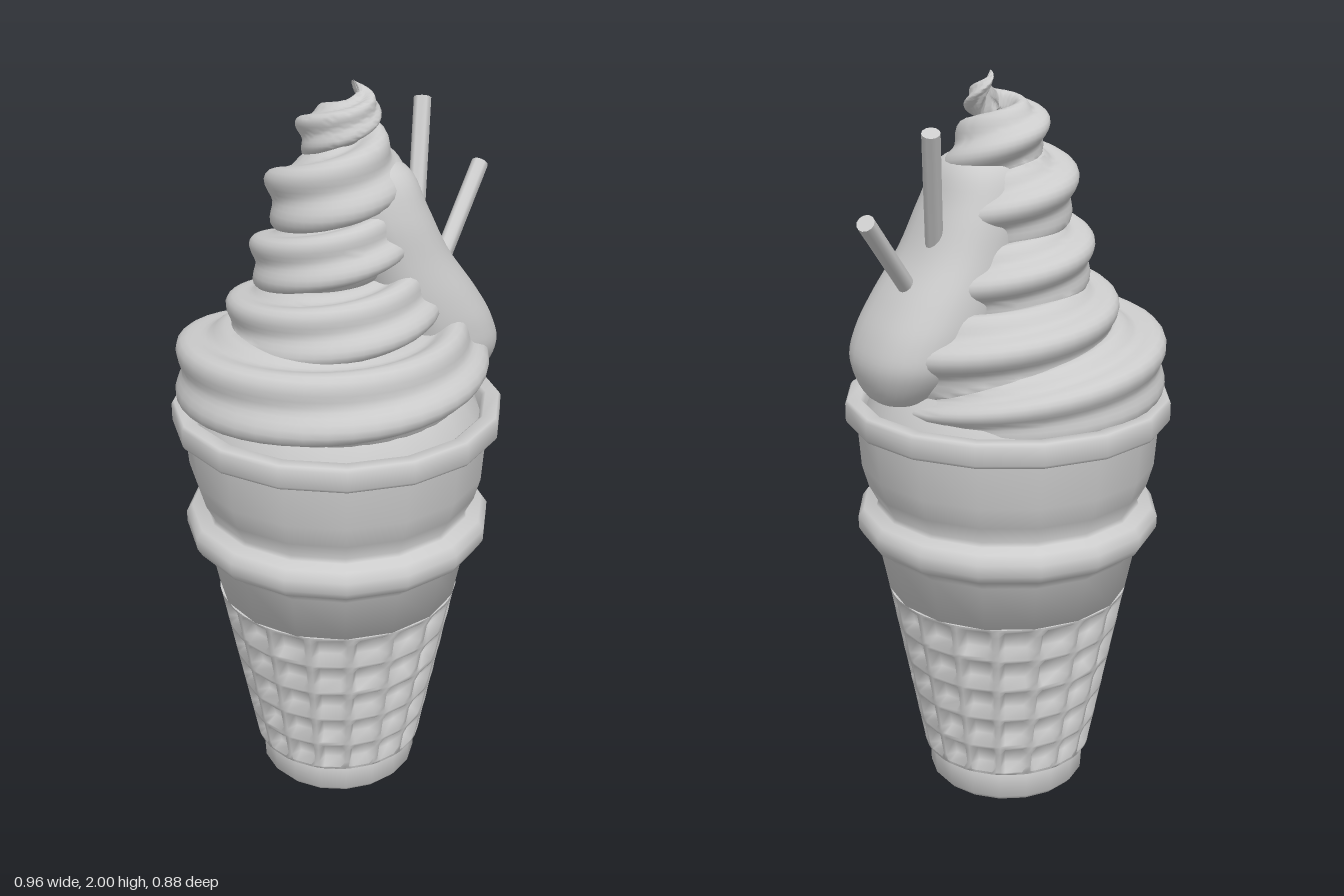
import * as THREE from 'three';
import { toCreasedNormals } from 'three/addons/utils/BufferGeometryUtils.js';

const CX = -0.04; // axis of the cone
const material = new THREE.MeshStandardMaterial({ color: 0xcccccc });

function part(name, geometry, crease = 1.2) {
  const mesh = new THREE.Mesh(toCreasedNormals(geometry, crease), material);
  mesh.name = name;
  return mesh;
}

// Skin through closed loops: point(i, j) gives corner j of loop i
function skin(rows, cols, point) {
  const pos = [], index = [];
  for (let i = 0; i < rows; i++) {
    for (let j = 0; j < cols; j++) {
      pos.push(...point(i, j));
      if (i === rows - 1) continue;
      const a = i * cols + j, b = i * cols + (j + 1) % cols;
      index.push(a, b, b + cols, a, b + cols, a + cols);
    }
  }
  const geometry = new THREE.BufferGeometry();
  geometry.setAttribute('position', new THREE.Float32BufferAttribute(pos, 3));
  geometry.setIndex(index);
  return geometry;
}

function lathe(points, segments) {
  return new THREE.LatheGeometry(points.map(([r, y]) => new THREE.Vector2(r, y)), segments)
    .translate(CX, 0, 0);
}

// Smooth interpolation through triples
const smooth = (keys) => new THREE.CatmullRomCurve3(
  keys.map((k) => new THREE.Vector3(...k)), false, 'catmullrom', 0.5);

// Waffle wall: raised ribs around sunken square cells
function waffleWall() {
  const columns = 18, levels = [[0.1, 0.21, 0]];
  for (let k = 0; k < 5; k++) {
    const y = 0.1 + k * 0.1;
    levels.push([y, 0, 0], [y + 0.008, 0, 0], [y + 0.027, 0, 1], [y + 0.073, 0, 1], [y + 0.092, 0, 0]);
  }
  levels.push([0.6, 0, 0], [0.6, 0.31, 0]);
  const steps = [-0.07, 0.07, 0.22, 0.78];
  return skin(levels.length, columns * 4, (i, j) => {
    const [y, fixed, sunk] = levels[i];
    const k = j % 4;
    const a = (Math.floor(j / 4) + steps[k]) / columns * Math.PI * 2;
    const rib = 0.239 + (y - 0.1) * 0.19;
    const r = fixed || rib - (sunk && k > 1 ? 0.03 : 0);
    return [CX + r * Math.sin(a), y, r * Math.cos(a)];
  });
}

// Swirl: a ridged rope wound upward and inward; keys are coil radius, height, rope radius
function swirl() {
  const path = smooth([
    [0.28, 1.12, 0.02], [0.315, 1.24, 0.108], [0.285, 1.28, 0.105], [0.2, 1.365, 0.095],
    [0.172, 1.44, 0.093], [0.135, 1.53, 0.09], [0.108, 1.62, 0.086], [0.078, 1.7, 0.1],
    [0.06, 1.77, 0.105], [0.038, 1.86, 0.07], [0.03, 1.92, 0.042], [0.025, 2.0, 0.002],
  ]);
  const rows = 243, cols = 50, turns = 5.5;
  return skin(rows, cols, (i, j) => {
    const u = i / (rows - 1);
    const p = path.getPoint(u);
    const phi = (u * turns - 0.5 - 0.375) * Math.PI * 2;
    const a = -j / cols * Math.PI * 2;
    const twist = 1.2 * u * turns; // ridges climb across the rope
    const r = p.z * (1 + 0.15 * Math.cos(5 * (a - twist)));
    const out = p.x + r * Math.cos(a);
    const lean = Math.max(0, u - 0.8) * 0.25;
    return [CX + lean + out * Math.sin(phi), p.y + r * Math.sin(a), lean + out * Math.cos(phi)];
  });
}

// Sauce drop: rounded loops; keys are centre x, height, half width in x, half width in z
function sauce() {
  const keys = [
    [0.29, 1.175, 0.004, 0.004], [0.28, 1.195, 0.08, 0.09], [0.24, 1.28, 0.155, 0.165],
    [0.215, 1.36, 0.16, 0.178], [0.165, 1.45, 0.155, 0.175], [0.105, 1.56, 0.135, 0.162],
    [0.055, 1.68, 0.125, 0.148], [0.03, 1.78, 0.1, 0.11], [0.02, 1.83, 0.004, 0.004],
  ];
  const place = smooth(keys.map(([x, y]) => [x, y, 0]));
  const size = smooth(keys.map(([, , a, b]) => [a, b, 0]));
  const rows = 41, cols = 32;
  const full = (v) => Math.sign(v) * Math.abs(v) ** 0.85; // slightly squared ellipse
  return skin(rows, cols, (i, j) => {
    const c = place.getPoint(i / (rows - 1)), s = size.getPoint(i / (rows - 1));
    const a = j / cols * Math.PI * 2;
    return [c.x + s.x * full(Math.sin(a)), c.y, 0.025 + s.y * full(Math.cos(a))];
  });
}

// Straight round stick between two points
function stick(name, from, to) {
  const a = new THREE.Vector3(...from), b = new THREE.Vector3(...to);
  const mesh = part(name, new THREE.CylinderGeometry(0.023, 0.023, a.distanceTo(b), 12));
  mesh.position.copy(a).lerp(b, 0.5);
  mesh.quaternion.setFromUnitVectors(new THREE.Vector3(0, 1, 0), b.sub(a).normalize());
  return mesh;
}

export function createModel() {
  const group = new THREE.Group();
  group.name = 'iceCreamCone';

  group.add(part('coneFoot', lathe([
    [0, 0.005], [0.19, 0], [0.21, 0.004], [0.222, 0.018], [0.223, 0.09], [0.217, 0.102], [0.2, 0.11],
  ], 18)));
  group.add(part('waffleWall', waffleWall(), 1.5));

  // Upper cone, ring, bowl and rim in one turned profile
  group.add(part('coneCup', lathe([
    [0.3, 0.59], [0.334, 0.6], [0.36, 0.73], [0.38, 0.755], [0.402, 0.766], [0.415, 0.788],
    [0.416, 0.82], [0.4, 0.843], [0.365, 0.85], [0.36, 0.862], [0.385, 0.91], [0.402, 0.97],
    [0.411, 1.09], [0.436, 1.092], [0.441, 1.1], [0.441, 1.147], [0.435, 1.156], [0.4, 1.156],
    [0.39, 1.147], [0.385, 1.09], [0, 1.09],
  ], 16)));

  // Filling under the swirl
  group.add(part('creamCore', lathe([
    [0.388, 1.09], [0.38, 1.13], [0.34, 1.19], [0.24, 1.33], [0.14, 1.48], [0.07, 1.74], [0, 1.82],
  ], 24)));
  group.add(part('creamSwirl', swirl(), 1.0));
  group.add(part('sauceDrop', sauce()));

  group.add(stick('tallStick', [0.18, 1.52, 0.01], [0.285, 1.89, -0.15]));
  group.add(stick('lowStick', [0.22, 1.43, 0.03], [0.462, 1.695, -0.14]));
  return group;
}
